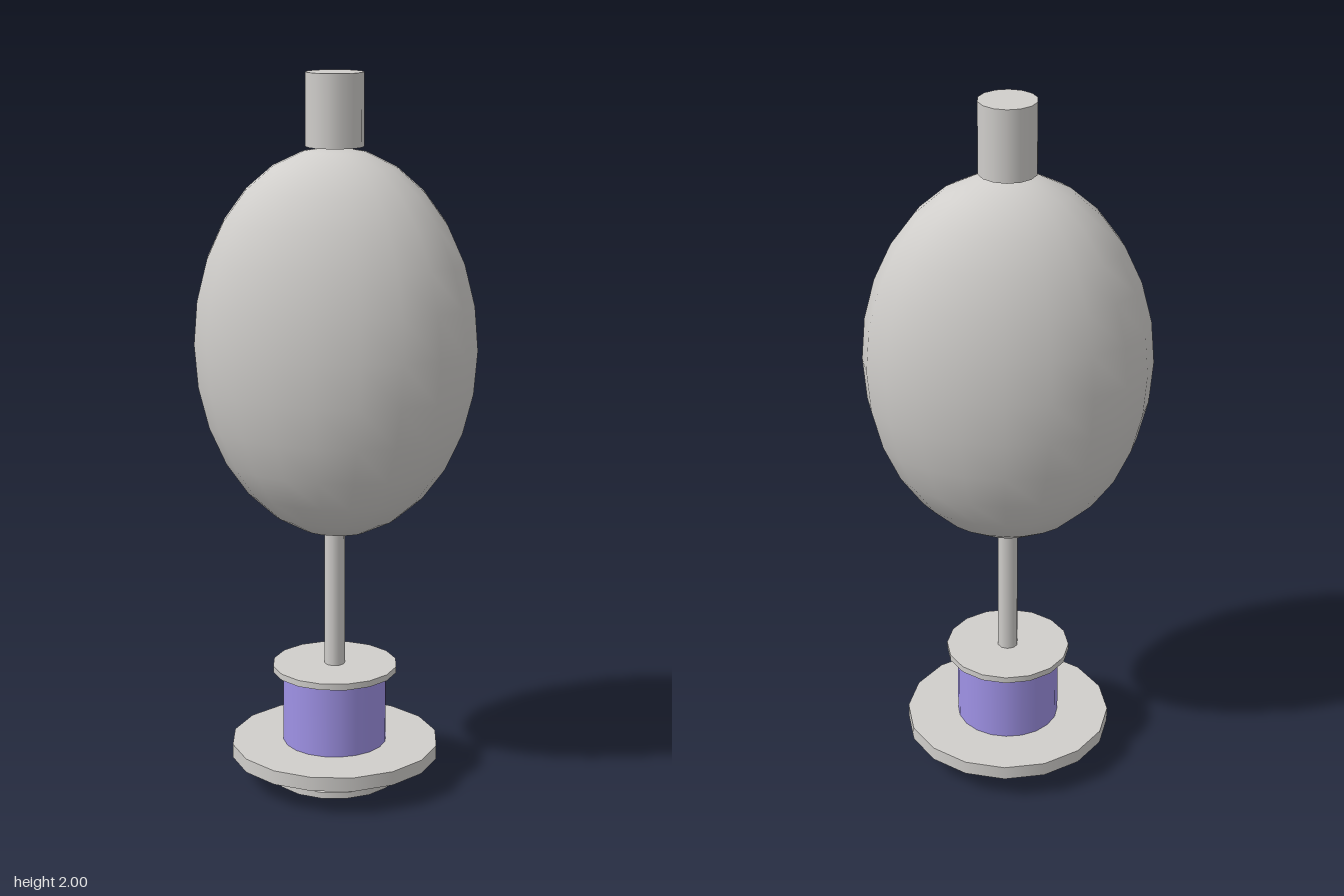
import * as THREE from 'three';

export function createModel() {
  const model = new THREE.Group();
  const metal = new THREE.MeshStandardMaterial({ name: 'pale grey', color: 0xd0cecb });
  const violet = new THREE.MeshStandardMaterial({ name: 'violet', color: 0x9f92e6 });

  // Upright cylinder spanning y0 to y1
  function cylinder(name, radius, y0, y1, sides, material) {
    const mesh = new THREE.Mesh(new THREE.CylinderGeometry(radius, radius, y1 - y0, sides), material);
    mesh.name = name;
    mesh.position.y = (y0 + y1) / 2;
    model.add(mesh);
  }

  // Spool base with its end flanges and wide disc
  cylinder('bottomFlange', 0.177, 0, 0.018, 16, metal);
  cylinder('spool', 0.147, 0.018, 0.325, 20, violet);
  cylinder('wideDisc', 0.295, 0.073, 0.113, 16, metal);
  cylinder('topFlange', 0.177, 0.323, 0.341, 16, metal);

  // Stem up into the body
  cylinder('stem', 0.029, 0.341, 0.76, 10, metal);

  // Flattened egg-shaped body
  const body = new THREE.Mesh(new THREE.SphereGeometry(1, 20, 14), metal);
  body.name = 'body';
  body.scale.set(0.395, 0.541, 0.271);
  body.position.y = 1.262;
  model.add(body);

  // Cap on top
  cylinder('cap', 0.079, 1.803, 2, 14, metal);

  return model;
}
